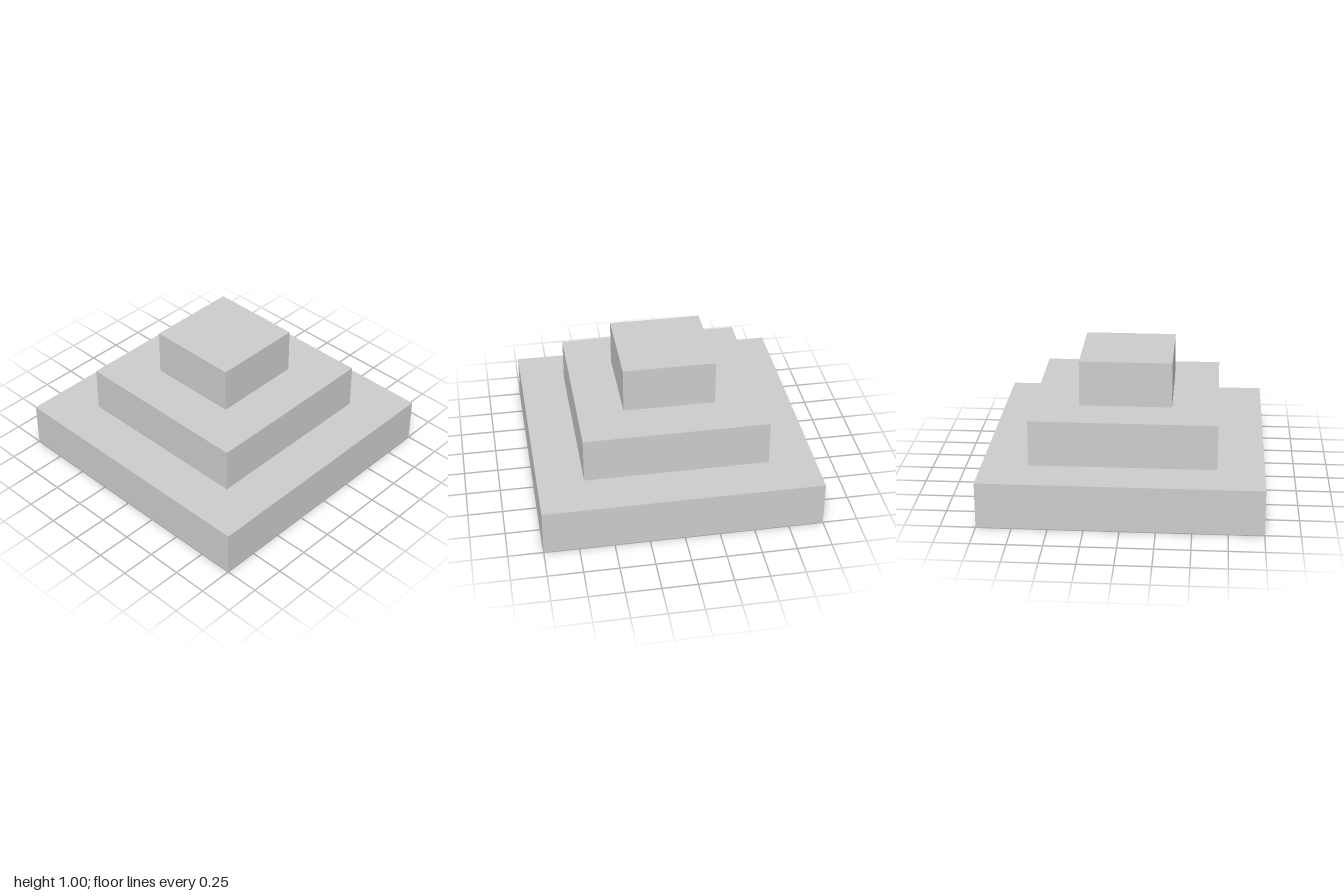
import * as THREE from 'three';

export function createModel() {
  const model = new THREE.Group();
  model.name = 'steppedPyramid';
  const material = new THREE.MeshStandardMaterial({ color: 0xcccccc });

  // Three square tiers of equal height, each narrower than the one below
  const height = 1 / 3;
  const tiers = [
    ['bottomTier', 2],
    ['middleTier', 4 / 3],
    ['topTier', 2 / 3],
  ];
  tiers.forEach(([name, width], i) => {
    const tier = new THREE.Mesh(new THREE.BoxGeometry(width, height, width), material);
    tier.name = name;
    tier.position.y = (i + 0.5) * height;
    model.add(tier);
  });

  return model;
}
